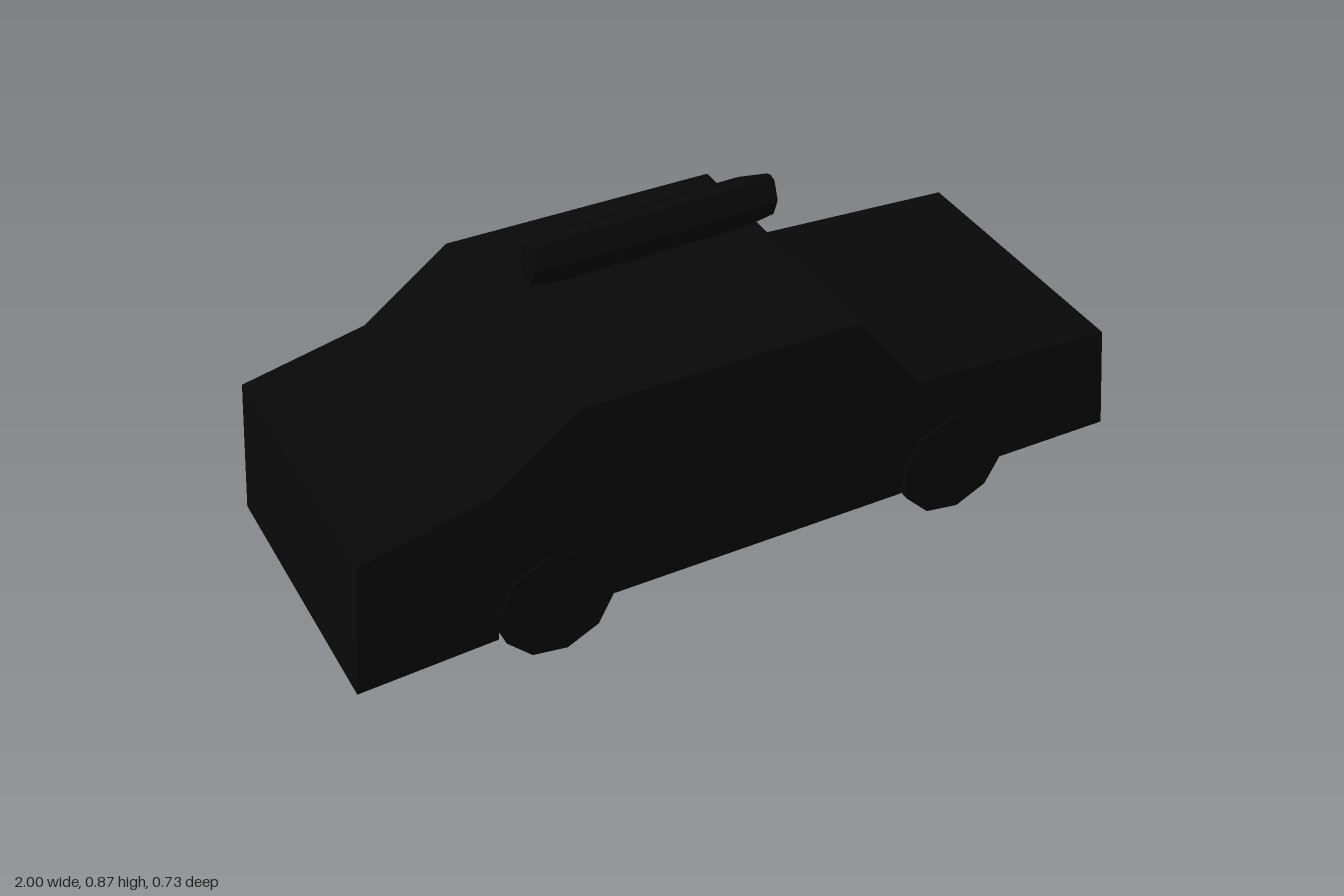
import * as THREE from 'three';

const WHEEL_X = [-0.515, 0.55];
const WHEEL_Y = 0.143;
const WHEEL_R = 0.144;
const SIDES = 10;
const START = THREE.MathUtils.degToRad(-82); // angle of the lowest wheel corner

// Corners of a wheel-shaped polygon around (cx, WHEEL_Y)
function wheelCorners(cx, r) {
  return Array.from({ length: SIDES }, (_, i) => {
    const a = START + (i * Math.PI * 2) / SIDES;
    return new THREE.Vector2(cx + r * Math.cos(a), WHEEL_Y + r * Math.sin(a));
  });
}

function extrude(points, depth, z) {
  const geometry = new THREE.ExtrudeGeometry(new THREE.Shape(points), { depth, bevelEnabled: false });
  return geometry.translate(0, 0, z);
}

export function createModel() {
  const group = new THREE.Group();
  const black = new THREE.MeshStandardMaterial({ color: 0x080808, flatShading: true });
  black.name = 'black';

  function add(name, geometry) {
    const mesh = new THREE.Mesh(geometry, black);
    mesh.name = name;
    group.add(mesh);
  }

  // Wheel arch outline, from its right foot over the top to its left foot
  const arch = (cx) => wheelCorners(cx, WHEEL_R + 0.001).slice(2, 8);

  // Body: side profile with wheel arches running across the full width
  const v = (x, y) => new THREE.Vector2(x, y);
  const profile = [
    v(-1, 0.083), v(-0.66, 0.095),
    ...arch(WHEEL_X[0]).reverse(),
    v(-0.37, 0.11), v(0.405, 0.1),
    ...arch(WHEEL_X[1]).reverse(),
    v(0.69, 0.105), v(1, 0.1),
    v(0.965, 0.39), v(0.435, 0.427), v(0.26, 0.655),
    v(-0.44, 0.667), v(-0.66, 0.505), v(-0.97, 0.44),
  ];
  add('body', extrude(profile, 0.72, -0.36));

  // Wheels, slightly proud of the body sides
  for (const [end, cx] of [['rear', WHEEL_X[0]], ['front', WHEEL_X[1]]]) {
    for (const [side, z] of [['Left', -0.365], ['Right', 0.31]]) {
      add(`${end}${side}Wheel`, extrude(wheelCorners(cx, WHEEL_R), 0.055, z));
    }
  }

  // Roof light bar: eight-sided, tapered at both ends, floating over the roof
  const half = [v(0, -0.31), v(0.82, -0.31), v(1, -0.235), v(1, 0.235), v(0.82, 0.31), v(0, 0.31)];
  const bar = new THREE.LatheGeometry(half, 8).rotateZ(-Math.PI / 2);
  const p = bar.attributes.position;
  for (let i = 0; i < p.count; i++) {
    const y = p.getY(i), z = p.getZ(i);
    const diagonal = Math.abs(y) > 0.1 && Math.abs(z) > 0.1; // sharpen the front and back edges
    p.setY(i, y * (diagonal ? 1.27 : 1) * 0.062);
    p.setZ(i, z * (diagonal ? 0.71 : 1) * 0.042);
  }
  bar.translate(-0.08, 0.806, -0.002);
  bar.computeVertexNormals();
  add('lightBar', bar);

  return group;
}
